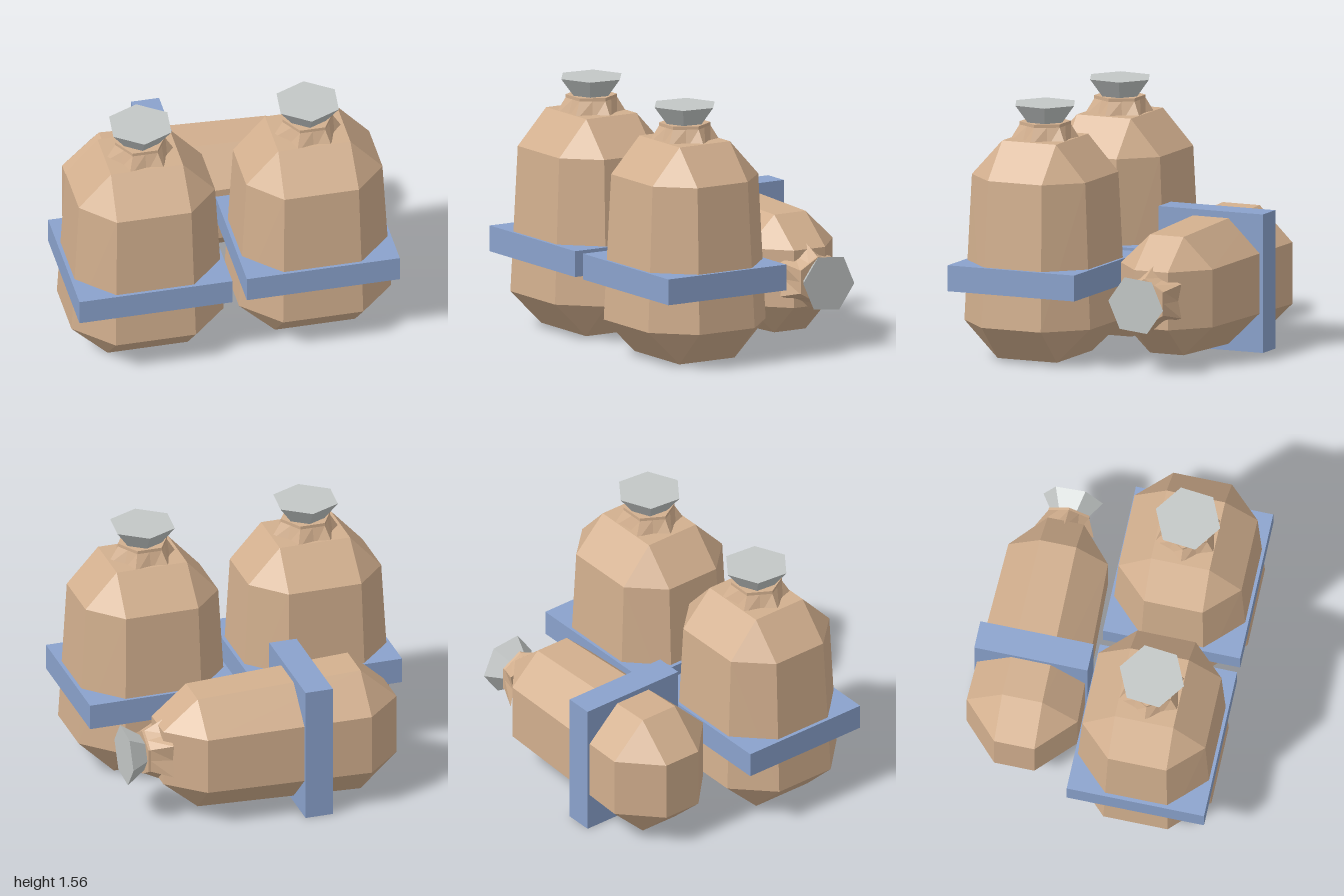
import * as THREE from 'three';
import { ConvexGeometry } from 'three/addons/geometries/ConvexGeometry.js';

const flat = (color, name) => {
  const m = new THREE.MeshStandardMaterial({ color });
  m.name = name;
  return m;
};

export function createModel() {
  const cloth = flat(0xd2af8e, 'sackcloth');
  const strap = flat(0x8aa2cc, 'blue strap');
  const metal = flat(0xc3c7c6, 'pale grey');
  const model = new THREE.Group();

  const add = (parent, name, geometry, material, y = 0) => {
    const g = geometry.index ? geometry.toNonIndexed() : geometry;
    g.computeVertexNormals();
    const mesh = new THREE.Mesh(g, material);
    mesh.name = name;
    mesh.position.y = y;
    parent.add(mesh);
  };

  // Chamfered body: each level is [y, half x, half z, flat half x, flat half z]
  const bodyGeometry = (levels) => {
    const points = [];
    for (const [y, ex, ez, fx, fz] of levels)
      for (const sx of [-1, 1])
        for (const sz of [-1, 1]) {
          points.push(new THREE.Vector3(sx * fx, y, sz * ez));
          if (ex !== fx) points.push(new THREE.Vector3(sx * ex, y, sz * fz));
        }
    return new ConvexGeometry(points);
  };

  // Gathered neck: six pleats at the base closing to a hexagon
  const neckGeometry = (rTop, rBottom, height) => {
    const g = new THREE.CylinderGeometry(rTop, rBottom, height, 12, 1, true, Math.PI / 6);
    const p = g.attributes.position;
    for (let i = 0; i < p.count; i++) {
      if ((i % 13) % 2 === 0) continue;
      const k = i < 13 ? 0.866 : 0.76;
      p.setXYZ(i, p.getX(i) * k, p.getY(i), p.getZ(i) * k);
    }
    return g;
  };

  const sack = (name, s) => {
    const g = new THREE.Group();
    g.name = name;
    add(g, 'body', bodyGeometry(s.levels), cloth);
    const [y0, y1, y2, y3] = s.neckY;
    const [r0, r1, r2, r3] = s.neckR;
    add(g, 'neck', neckGeometry(r1, r0, y1 - y0), cloth, (y0 + y1) / 2);
    add(g, 'collar', new THREE.CylinderGeometry(r1, r1, y2 - y1, 6, 1, false, Math.PI / 6), cloth, (y1 + y2) / 2);
    add(g, 'cap', new THREE.CylinderGeometry(r3, r2, y3 - y2, 6, 1, false, -0.1), metal, (y2 + y3) / 2);
    const [bx, by, bz] = s.band;
    add(g, 'band', new THREE.BoxGeometry(bx, by, bz), strap, s.bandY);
    model.add(g);
    return g;
  };

  // Two standing sacks
  const upright = {
    levels: [
      [0.01, 0.25, 0.2, 0.25, 0.2],
      [0.23, 0.475, 0.425, 0.25, 0.2],
      [1.13, 0.425, 0.383, 0.232, 0.182],
      [1.35, 0.225, 0.182, 0.225, 0.182],
    ],
    neckY: [1.31, 1.43, 1.45, 1.56],
    neckR: [0.23, 0.157, 0.122, 0.206],
    band: [0.955, 0.16, 0.855],
    bandY: 0.52,
  };
  for (const side of [-1, 1])
    sack(side < 0 ? 'rightSack' : 'leftSack', upright).position.set(side * 0.5225, 0, 0.36);

  // Smaller sack lying on its side behind them
  const lying = sack('lyingSack', {
    levels: [
      [0, 0.19, 0.125, 0.19, 0.125],
      [0.23, 0.403, 0.345, 0.19, 0.125],
      [1.27, 0.365, 0.31, 0.178, 0.113],
      [1.49, 0.178, 0.113, 0.178, 0.113],
    ],
    neckY: [1.445, 1.575, 1.59, 1.705],
    neckR: [0.212, 0.146, 0.108, 0.186],
    band: [0.855, 0.175, 0.705],
    bandY: 0.57,
  });
  lying.rotation.z = -Math.PI / 2;
  lying.position.set(-0.8, 0.4275, -0.437);

  return model;
}
